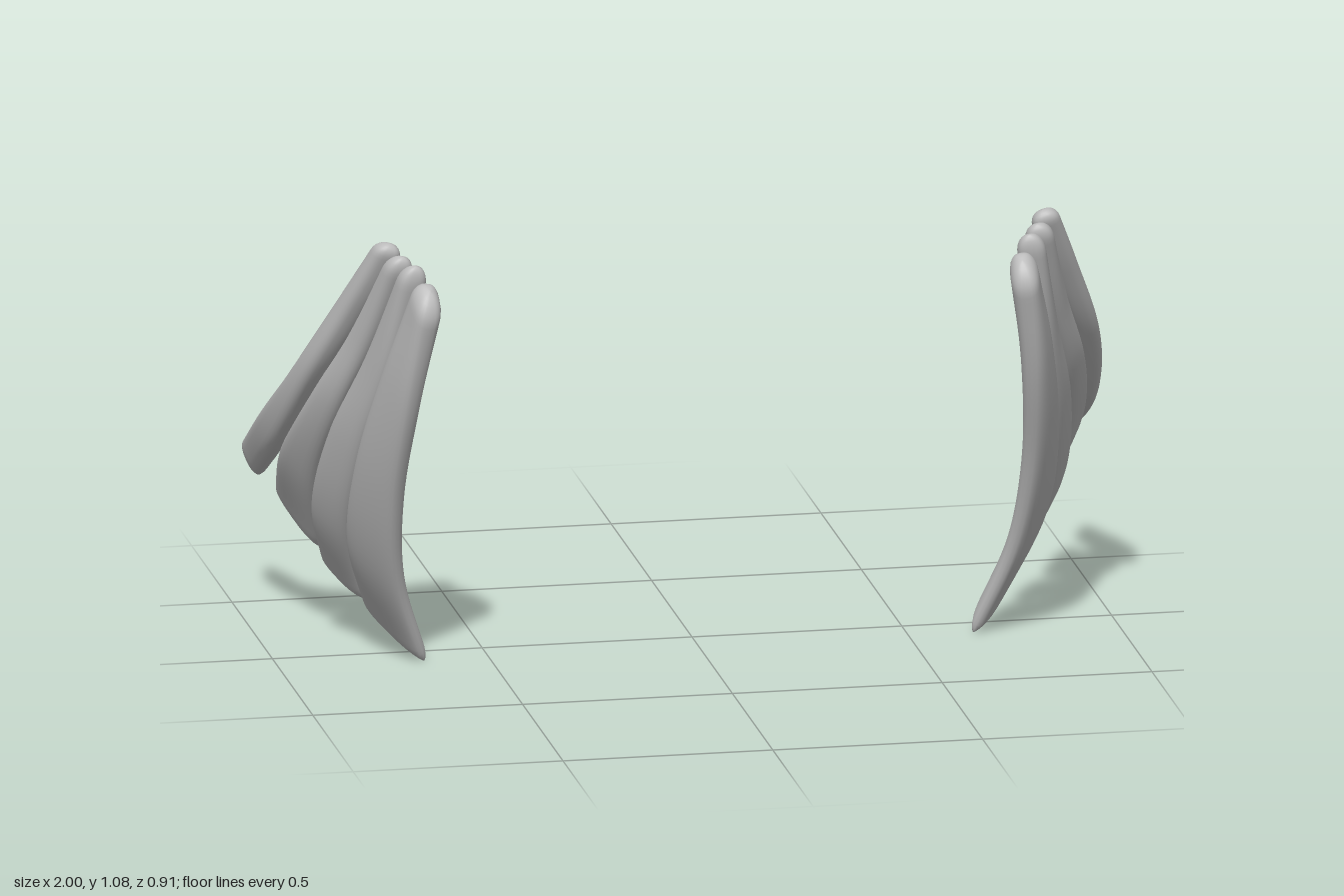
import * as THREE from 'three';

// Stations run from top to bottom: middle x, front edge y and z, back edge y and z.
// Twist is how far the back edge swings outward at the bottom.
const BLADES = [
  { name: 'frontBlade', twist: 0.055, stations: [
    [0.705, 0.965, 0.466, 1.03, 0.385],
    [0.757, 0.7, 0.385, 0.785, 0.292],
    [0.787, 0.44, 0.272, 0.53, 0.172],
    [0.776, 0.22, 0.176, 0.31, 0.055],
    [0.706, 0, 0.087, 0.105, -0.06]] },
  { name: 'secondBlade', twist: 0.037, stations: [
    [0.73, 1.04, 0.405, 1.055, 0.36],
    [0.788, 0.77, 0.31, 0.795, 0.215],
    [0.84, 0.53, 0.178, 0.595, 0.09],
    [0.853, 0.315, 0.046, 0.37, -0.058],
    [0.803, 0.115, -0.077, 0.193, -0.176]] },
  { name: 'thirdBlade', twist: 0.036, stations: [
    [0.755, 1.055, 0.375, 1.07, 0.325],
    [0.82, 0.825, 0.255, 0.84, 0.175],
    [0.88, 0.645, 0.138, 0.67, 0.055],
    [0.912, 0.425, -0.04, 0.49, -0.13],
    [0.885, 0.212, -0.195, 0.322, -0.34]] },
  { name: 'rearBlade', twist: 0.01, stations: [
    [0.775, 1.08, 0.338, 1.088, 0.28],
    [0.847, 0.91, 0.245, 0.92, 0.17],
    [0.923, 0.72, 0.12, 0.735, 0.035],
    [0.967, 0.5, -0.1, 0.585, -0.145],
    [0.967, 0.34, -0.385, 0.4, -0.462]] },
];

const SIDES = 24;
const ROWS = 48;

// Rounds an end over the given share of the length
const dome = (t, length) => Math.sqrt(Math.max(0, 1 - (1 - Math.min(1, t / length)) ** 2));
const power = (v, p) => Math.sign(v) * Math.abs(v) ** p;

function bladeGeometry({ stations, twist }, side) {
  const swing = (i) => twist * Math.sin((i / (stations.length - 1)) * Math.PI / 2);
  const front = new THREE.CatmullRomCurve3(
    stations.map(([x, y, z], i) => new THREE.Vector3(x - swing(i), y, z)));
  const back = new THREE.CatmullRomCurve3(
    stations.map(([x, , , y, z], i) => new THREE.Vector3(x + swing(i), y, z)));
  const centre = (t) => front.getPoint(t).add(back.getPoint(t)).multiplyScalar(0.5);
  const positions = [];
  const index = [];

  for (let i = 0; i <= ROWS; i++) {
    // Rows gather towards both ends
    const t = 0.5 - 0.5 * Math.cos((Math.PI * i) / ROWS);
    const c = centre(t);
    const along = centre(Math.min(1, t + 0.01)).sub(centre(Math.max(0, t - 0.01)));
    const across = back.getPoint(t).sub(front.getPoint(t)).multiplyScalar(0.5);
    const normal = along.cross(across).normalize();
    const top = dome(t, 0.045);
    const bottom = dome(1 - t, 0.035);
    const thickness = THREE.MathUtils.lerp(0.034, 0.023, t * t) * top * bottom;
    const width = top * (0.94 + 0.06 * bottom);

    for (let j = 0; j < SIDES; j++) {
      const a = (j / SIDES) * Math.PI * 2;
      const p = c.clone()
        .addScaledVector(across, power(Math.cos(a), 0.75) * width)
        .addScaledVector(normal, power(Math.sin(a), 0.75) * thickness);
      positions.push(p.x * side, p.y, p.z);
    }
  }

  for (let i = 0; i < ROWS; i++) {
    for (let j = 0; j < SIDES; j++) {
      const a = i * SIDES + j;
      const b = i * SIDES + ((j + 1) % SIDES);
      const c = a + SIDES;
      const d = b + SIDES;
      if (side > 0) index.push(a, b, c, b, d, c);
      else index.push(a, c, b, b, c, d);
    }
  }

  const geometry = new THREE.BufferGeometry();
  geometry.setAttribute('position', new THREE.Float32BufferAttribute(positions, 3));
  geometry.setIndex(index);
  geometry.computeVertexNormals();
  return geometry;
}

export function createModel() {
  const model = new THREE.Group();
  model.name = 'bladeFans';
  const grey = new THREE.MeshStandardMaterial({ color: 0xbdbdbd });
  grey.name = 'light grey';

  // One fan of four overlapping blades on each side
  for (const [sideName, side] of [['left', 1], ['right', -1]]) {
    const fan = new THREE.Group();
    fan.name = sideName + 'Fan';
    for (const spec of BLADES) {
      const blade = new THREE.Mesh(bladeGeometry(spec, side), grey);
      blade.name = spec.name;
      fan.add(blade);
    }
    model.add(fan);
  }
  return model;
}
